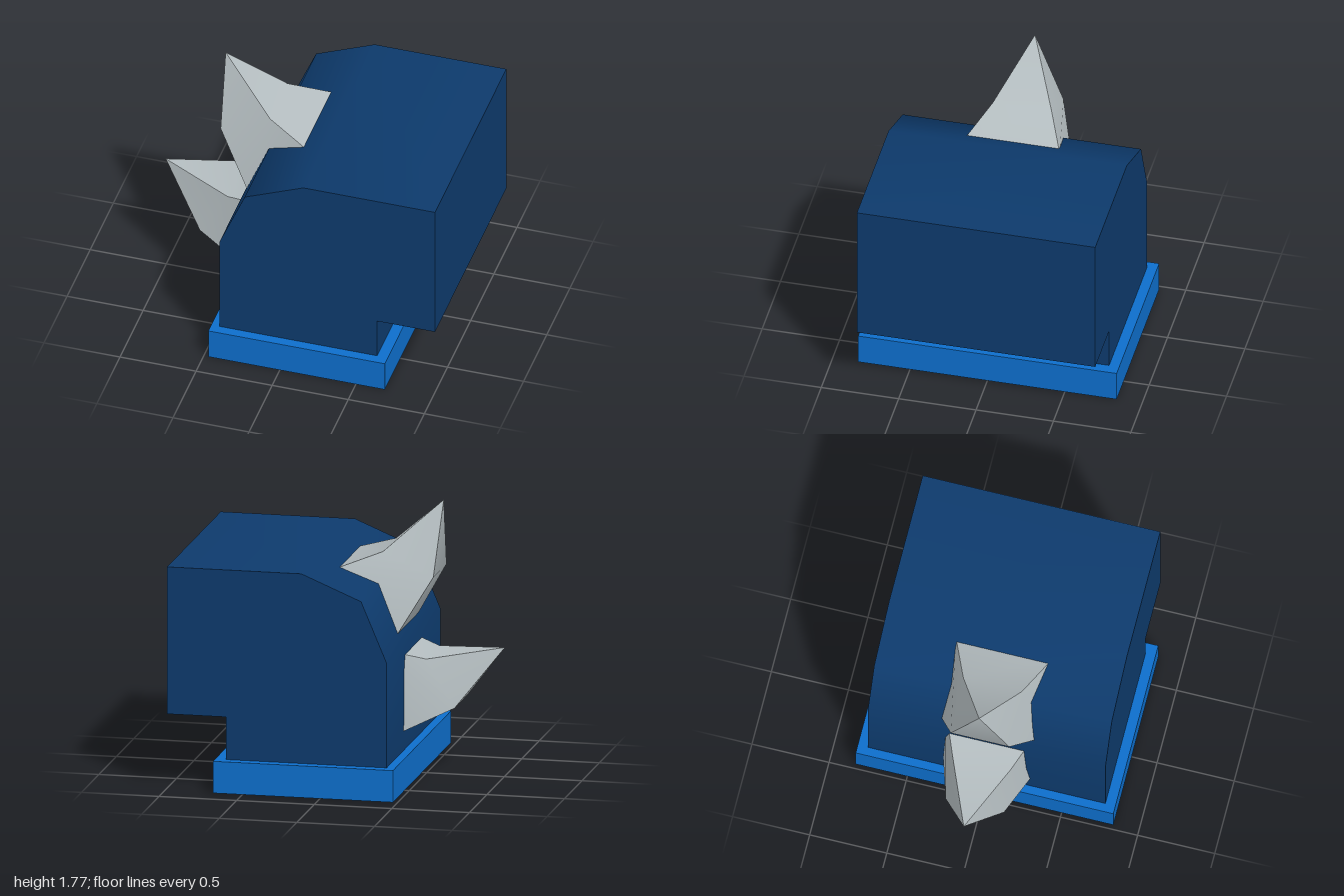
import * as THREE from 'three';
import { toCreasedNormals } from 'three/addons/utils/BufferGeometryUtils.js';

const material = (name, color) => {
  const m = new THREE.MeshStandardMaterial({ color });
  m.name = name;
  return m;
};

// Four-sided spike: tip, waist ring and flared root ring.
// Local origin lies on the upper edge of the waist.
function spikeGeometry() {
  const ring = ([ux, uy], [lx, ly], w) => [[ux, uy, w], [lx, ly, w], [lx, ly, -w], [ux, uy, -w]];
  const tip = [-0.35, 0.31, 0];
  const waist = ring([0, 0], [-0.325, -0.15], 0.19);
  const root = ring([0.286, -0.1], [-0.1, -0.535], 0.31);
  const points = [];
  for (let i = 0; i < 4; i++) {
    const j = (i + 1) % 4;
    points.push(tip, waist[j], waist[i]);
    points.push(waist[i], waist[j], root[j], waist[i], root[j], root[i]);
  }
  const geometry = new THREE.BufferGeometry();
  geometry.setAttribute('position', new THREE.Float32BufferAttribute(points.flat(), 3));
  return toCreasedNormals(geometry, 0.7);
}

export function createModel() {
  const group = new THREE.Group();
  const navy = material('navy', 0x0d3a6c);
  const blue = material('bright blue', 0x0d6ecb);
  const grey = material('light grey', 0xb4bdc0);

  const add = (name, geometry, mat, x, y, z) => {
    const mesh = new THREE.Mesh(geometry, mat);
    mesh.name = name;
    mesh.position.set(x, y, z);
    group.add(mesh);
    return mesh;
  };

  // Base slab
  add('base', new THREE.BoxGeometry(1.16, 0.205, 1.67), blue, 0.11, 0.1025, 0);

  // Body: side profile with rounded back and overhanging front
  const profile = new THREE.Shape([
    [-0.415, 0.2], [0.62, 0.2], [0.62, 0.48], [1, 0.48], [1, 1.43],
    [0.135, 1.43], [-0.25, 1.27], [-0.415, 0.88],
  ].map(([x, y]) => new THREE.Vector2(x, y)));
  const body = new THREE.ExtrudeGeometry(profile, { depth: 1.54, bevelEnabled: false });
  add('body', toCreasedNormals(body, 0.9), navy, 0, 0, -0.77);

  // Two identical spikes, the lower one tilted down
  const spike = spikeGeometry();
  add('upperSpike', spike, grey, -0.26, 1.46, 0);
  add('lowerSpike', spike, grey, -0.54, 0.78, 0).rotation.z = 0.606;

  return group;
}
